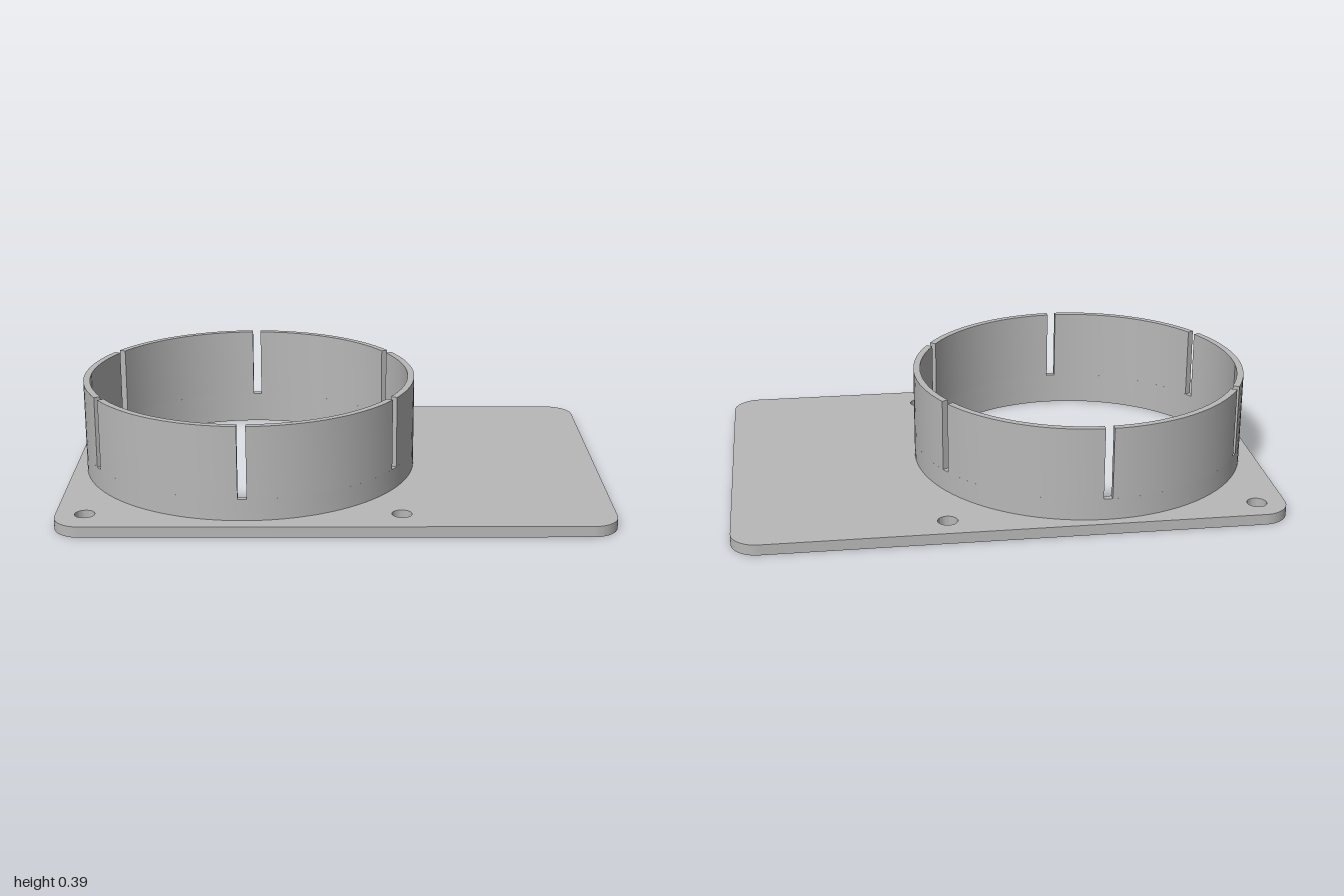
import * as THREE from 'three';
import { toCreasedNormals } from 'three/addons/utils/BufferGeometryUtils.js';

const CX = -0.33, CZ = -0.01;        // collar centre
const R_OUT = 0.63, R_IN = 0.605;    // collar radii
const PLATE_TOP = 0.04, SLOT_BOTTOM = 0.12, TOP = 0.39;
const SLOTS = 6, SLOT_HALF = 0.016;

// Extrude a plan shape (x, -z) upwards from y0 to y1, with smooth curves and sharp edges
function slab(shape, y0, y1, segments) {
  const g = new THREE.ExtrudeGeometry(shape, { depth: y1 - y0, bevelEnabled: false, curveSegments: segments });
  g.rotateX(-Math.PI / 2);
  g.translate(0, y0, 0);
  return toCreasedNormals(g, 0.5);
}

function circleHole(x, z, r) {
  return new THREE.Path().absarc(x, -z, r, 0, Math.PI * 2, true);
}

function plateShape() {
  const w = 1, d = 0.677, r = 0.1, q = Math.PI / 2;
  const s = new THREE.Shape();
  s.absarc(w - r, d - r, r, 0, q, false);
  s.absarc(-w + r, d - r, r, q, 2 * q, false);
  s.absarc(-w + r, -d + r, r, 2 * q, 3 * q, false);
  s.absarc(w - r, -d + r, r, 3 * q, 4 * q, false);
  s.closePath();
  // main opening and four screw holes
  s.holes.push(circleHole(CX, CZ, R_IN));
  for (const sx of [-1, 1]) for (const sz of [-1, 1]) {
    s.holes.push(circleHole(CX + sx * 0.565, CZ + sz * 0.565, 0.036));
  }
  return s;
}

function ringShape() {
  const s = new THREE.Shape();
  s.absarc(CX, -CZ, R_OUT, 0, Math.PI * 2, false);
  s.holes.push(circleHole(CX, CZ, R_IN));
  return s;
}

// Arc between two slots whose walls are parallel
function tabShape(a0, a1) {
  const o = Math.asin(SLOT_HALF / R_OUT), i = Math.asin(SLOT_HALF / R_IN);
  const s = new THREE.Shape();
  s.absarc(CX, -CZ, R_OUT, a0 + o, a1 - o, false);
  s.absarc(CX, -CZ, R_IN, a1 - i, a0 + i, true);
  s.closePath();
  return s;
}

export function createModel() {
  const group = new THREE.Group();
  const grey = new THREE.MeshStandardMaterial({ color: 0xb8b8b8 });
  grey.name = 'grey';
  const add = (name, geometry) => {
    const mesh = new THREE.Mesh(geometry, grey);
    mesh.name = name;
    group.add(mesh);
  };

  add('basePlate', slab(plateShape(), 0, PLATE_TOP, 48));
  add('collarBase', slab(ringShape(), PLATE_TOP, SLOT_BOTTOM, 48));

  // Upper collar, cut by six slots
  const step = Math.PI * 2 / SLOTS;
  for (let k = 0; k < SLOTS; k++) {
    const a = Math.PI / 6 + k * step;
    add('collarTab' + (k + 1), slab(tabShape(a, a + step), SLOT_BOTTOM, TOP, 8));
  }
  return group;
}
